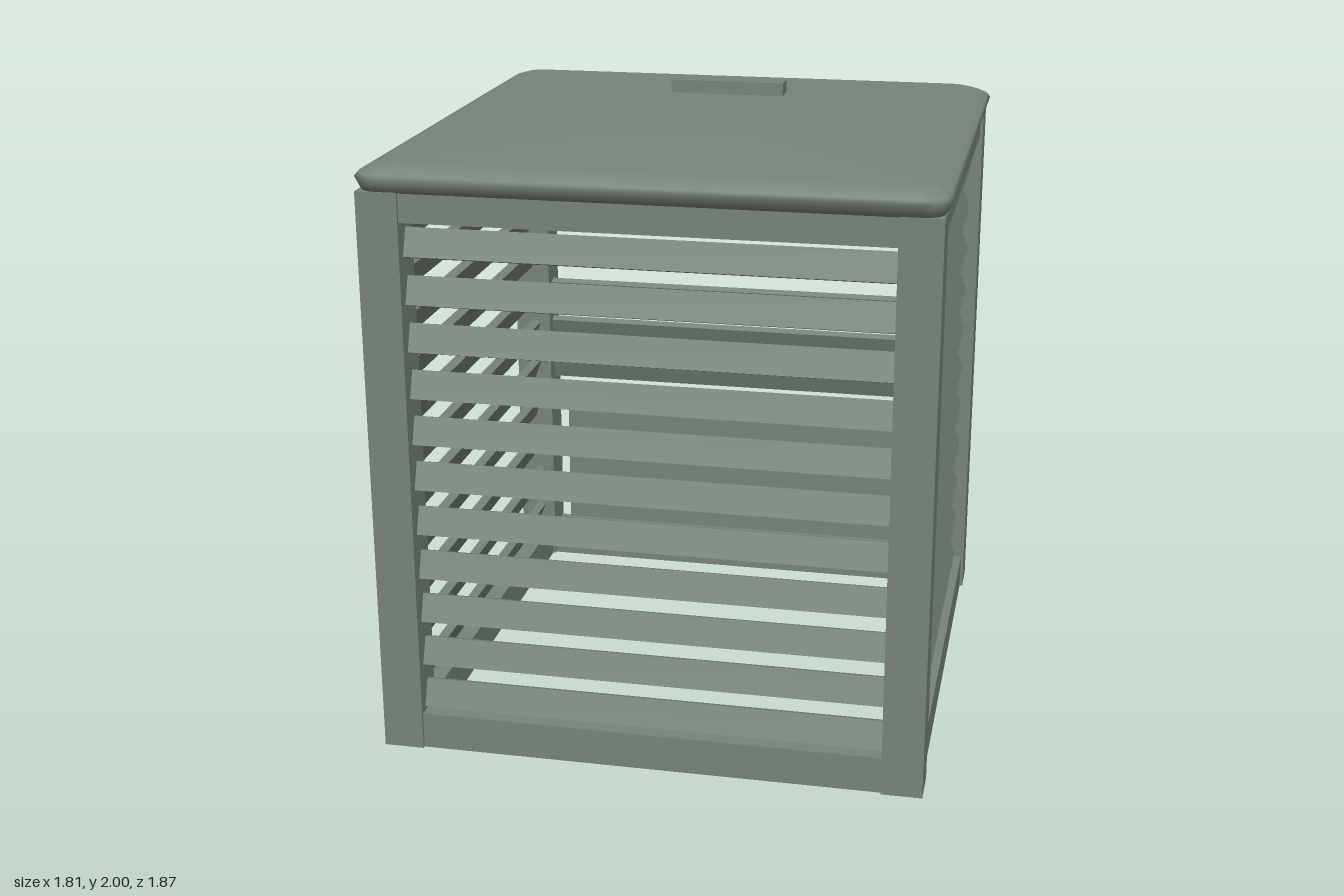
import * as THREE from 'three';

const CZ = 0.03;      // centre of the bin in z
const HALF = 0.888;   // half width of the frame
const POST = 0.132;   // post thickness
const FRAME_TOP = 1.872;

// Closed solid from rounded-square rings [half size, y, corner radius], smooth shaded
function roundedSlab(rings, cornerSteps) {
  const pos = [], idx = [];
  const n = 4 * (cornerSteps + 1);
  for (const [half, y, r] of rings) {
    for (let c = 0; c < 4; c++) {
      for (let s = 0; s <= cornerSteps; s++) {
        const a = (c + s / cornerSteps) * Math.PI / 2;
        const sx = c === 0 || c === 3 ? 1 : -1, sz = c < 2 ? 1 : -1;
        pos.push(sx * (half - r) + r * Math.cos(a), y, sz * (half - r) + r * Math.sin(a));
      }
    }
  }
  for (let k = 0; k < rings.length - 1; k++) {
    for (let i = 0; i < n; i++) {
      const a = k * n + i, b = k * n + (i + 1) % n;
      idx.push(a, a + n, b, b, a + n, b + n);
    }
  }
  // caps
  const last = (rings.length - 1) * n, bottom = pos.length / 3, top = bottom + 1;
  pos.push(0, rings[0][1], 0, 0, rings[rings.length - 1][1], 0);
  for (let i = 0; i < n; i++) {
    const j = (i + 1) % n;
    idx.push(bottom, i, j, top, last + j, last + i);
  }
  const g = new THREE.BufferGeometry();
  g.setAttribute('position', new THREE.Float32BufferAttribute(pos, 3));
  g.setIndex(idx);
  g.computeVertexNormals();
  return g;
}

export function createModel() {
  const model = new THREE.Group();
  model.name = 'slattedBin';
  const green = new THREE.MeshStandardMaterial({ color: 0x78847a });
  green.name = 'greyGreen';

  const box = (parent, name, w, h, d, x, y, z) => {
    const m = new THREE.Mesh(new THREE.BoxGeometry(w, h, d), green);
    m.name = name;
    m.position.set(x, y, z);
    parent.add(m);
    return m;
  };

  // corner posts
  const mid = HALF - POST / 2;
  for (const sx of [-1, 1]) for (const sz of [-1, 1]) {
    box(model, 'cornerPost', POST, FRAME_TOP, POST, sx * mid, FRAME_TOP / 2, CZ + sz * mid);
  }

  // four walls: rails and tilted slats; the back leaves an opening for the hatch
  const span = 2 * (HALF - POST);
  ['frontWall', 'leftWall', 'backWall', 'rightWall'].forEach((name, k) => {
    const wall = new THREE.Group();
    wall.name = name;
    wall.position.z = CZ;
    wall.rotation.y = k * Math.PI / 2;
    box(wall, 'bottomRail', span, 0.122, POST - 0.02, 0, 0.061, mid);
    box(wall, 'topRail', span, 0.094, POST - 0.02, 0, 1.825, mid);
    for (let i = name === 'backWall' ? 4 : 0; i < 11; i++) {
      const slat = box(wall, 'slat', span, 0.093, 0.03, 0, 0.174 + 0.153 * i, mid);
      slat.rotation.x = -0.35;
    }
    model.add(wall);
  });

  // hatch on the back with its pull
  box(model, 'hatch', 1.436, 0.6, 0.035, 0, 0.38, -0.8535);
  box(model, 'hatchHandle', 0.415, 0.055, 0.066, 0, 0.597, -0.902);

  // soft-edged lid with its grip
  const lid = new THREE.Mesh(roundedSlab([
    [0.885, 1.87, 0.06], [0.904, 1.912, 0.075], [0.895, 1.924, 0.075],
    [0.865, 1.941, 0.07], [0.825, 1.955, 0.06],
  ], 4), green);
  lid.name = 'lid';
  lid.position.z = CZ - 0.003;
  model.add(lid);
  box(model, 'lidHandle', 0.4, 0.047, 0.087, 0, 1.9765, -0.473);

  return model;
}
